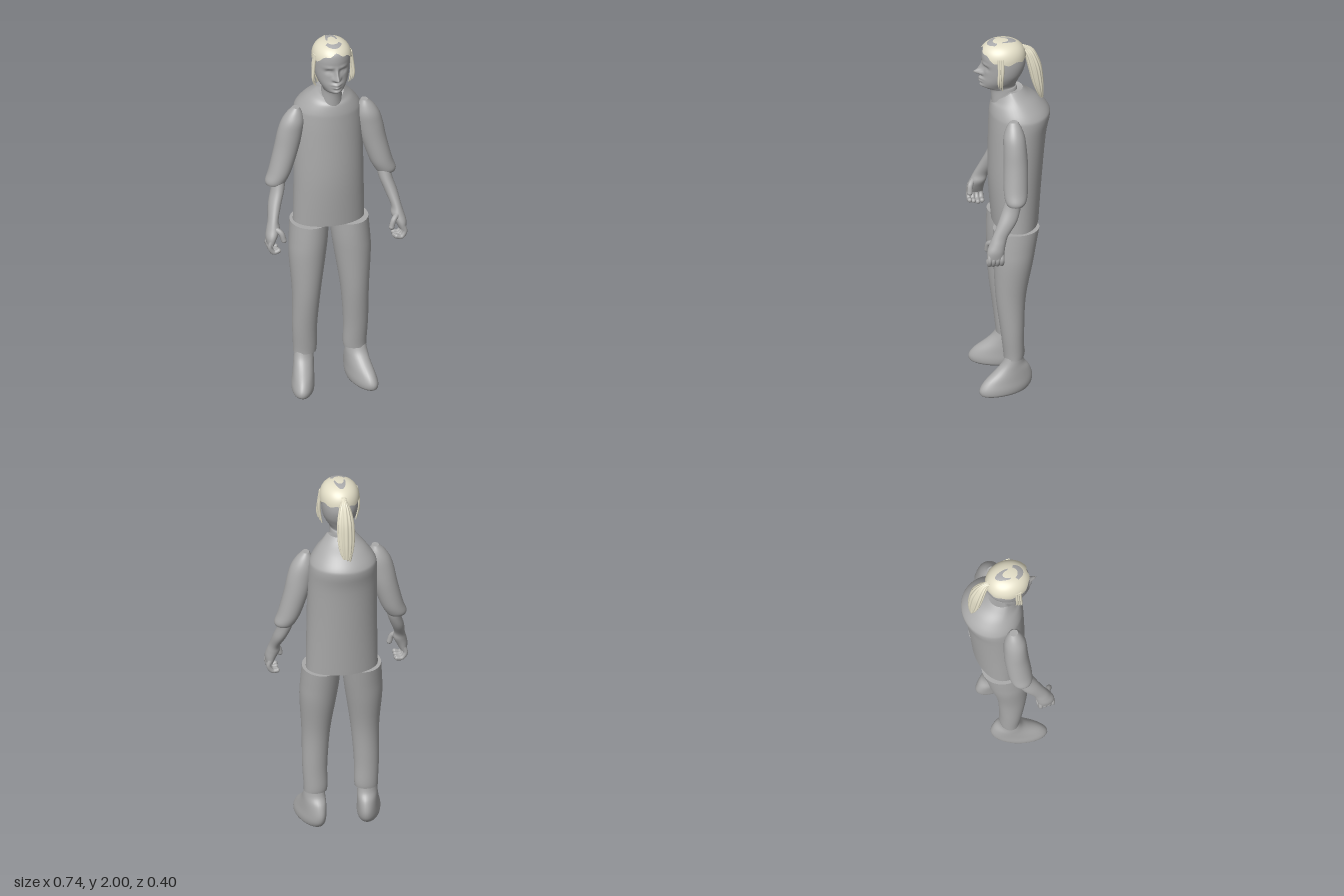
import * as THREE from 'three';

const material = (name, color, side = THREE.FrontSide) => {
  const m = new THREE.MeshStandardMaterial({ color, side });
  m.name = name;
  return m;
};

// Smooth surface from a rule fn(u, v) -> [x, y, z]; u runs down the rows, v around the columns
function grid(rows, cols, closed, fn, caps = false) {
  const pos = [], idx = [], n = closed ? cols : cols + 1;
  for (let i = 0; i <= rows; i++)
    for (let j = 0; j < n; j++) pos.push(...fn(i / rows, j / cols));
  for (let i = 0; i < rows; i++)
    for (let j = 0; j < cols; j++) {
      const k = (j + 1) % n;
      const a = i * n + j, b = i * n + k, c = a + n, d = b + n;
      idx.push(a, b, d, a, d, c);
    }
  if (caps) for (const u of [0, 1]) {
    const start = pos.length / 3, mid = [0, 0, 0];
    for (let j = 0; j < n; j++) {
      const p = fn(u, j / cols);
      pos.push(...p);
      p.forEach((c, k) => { mid[k] += c / n; });
    }
    pos.push(...mid);
    for (let j = 0; j < n; j++) {
      const a = start + j, b = start + (j + 1) % n;
      if (u) idx.push(a, b, start + n); else idx.push(b, a, start + n);
    }
  }
  const g = new THREE.BufferGeometry();
  g.setAttribute('position', new THREE.Float32BufferAttribute(pos, 3));
  g.setIndex(idx);
  g.computeVertexNormals();
  return g;
}

// Smooth value between cross-sections
function sample(rings, u) {
  const t = u * (rings.length - 1), i = Math.min(Math.floor(t), rings.length - 2), f = t - i;
  const at = k => rings[Math.max(0, Math.min(rings.length - 1, k))];
  return rings[i].map((p1, k) => {
    const p0 = at(i - 1)[k], p2 = at(i + 1)[k], p3 = at(i + 2)[k];
    const m1 = (p2 - p0) / 2, m2 = (p3 - p1) / 2;
    return p1 + f * (m1 + f * (3 * (p2 - p1) - 2 * m1 - m2 + f * (2 * (p1 - p2) + m1 + m2)));
  });
}

// Loft through sections [x, y, z, halfWidth, halfDepth, frontDrop], listed from top to bottom
function loft(rings, { cols = 32, steps = 5, rule = p => p, ridge = () => 1 } = {}) {
  return grid((rings.length - 1) * steps, cols, true, (u, v) => {
    const [x, y, z, rx, rz, drop = 0] = sample(rings, u);
    const a = v * Math.PI * 2, c = Math.cos(a), s = Math.sin(a), k = ridge(a);
    return rule([x + Math.max(rx, 0) * c * k, y - drop * Math.max(0, s), z + Math.max(rz, 0) * s * k]);
  }, true);
}

export function createModel() {
  const model = new THREE.Group();
  const grey = material('figure grey', 0xaaaaaa);
  const scalp = material('scalp grey', 0xaaaaab, THREE.DoubleSide);
  const blond = material('pale hair', 0xe4dfc8, THREE.DoubleSide);
  const add = (name, geometry, mat = grey, parent = model) => {
    const m = new THREE.Mesh(geometry, mat);
    m.name = name;
    parent.add(m);
    return m;
  };

  // Shirt with a collar that dips at the front
  add('shirt', loft([
    [0, 1.72, 0.015, 0.07, 0.075, 0.055], [0, 1.69, 0, 0.095, 0.093, 0.035],
    [0, 1.65, -0.022, 0.13, 0.125, 0.01], [0, 1.6, -0.04, 0.165, 0.152, 0],
    [0, 1.56, -0.042, 0.176, 0.157, 0], [0, 1.45, -0.03, 0.18, 0.148, 0],
    [0, 1.2, -0.018, 0.183, 0.138, 0], [0, 0.945, -0.018, 0.187, 0.12, 0],
  ], { cols: 48 }));

  // Face relief: [x, y, spreadX, spreadY, height]
  const relief = [
    [0, 1.826, 0.013, 0.014, 0.04], [0, 1.85, 0.009, 0.025, 0.022],
    [0.016, 1.822, 0.008, 0.008, 0.012], [-0.016, 1.822, 0.008, 0.008, 0.012],
    [0.036, 1.862, 0.02, 0.012, -0.013], [-0.036, 1.862, 0.02, 0.012, -0.013],
    [0.035, 1.859, 0.011, 0.006, 0.007], [-0.035, 1.859, 0.011, 0.006, 0.007],
    [0.036, 1.886, 0.024, 0.008, 0.006], [-0.036, 1.886, 0.024, 0.008, 0.006],
    [0, 1.792, 0.022, 0.007, 0.019], [0, 1.776, 0.018, 0.007, 0.017],
    [0, 1.75, 0.024, 0.011, 0.01],
  ];
  add('head', loft([
    [0, 1.995, 0.045, 0.01, 0.01], [0, 1.983, 0.045, 0.06, 0.075],
    [0, 1.96, 0.045, 0.082, 0.102], [0, 1.92, 0.042, 0.093, 0.112],
    [0, 1.87, 0.038, 0.094, 0.112], [0, 1.82, 0.045, 0.088, 0.105],
    [0, 1.78, 0.058, 0.074, 0.097], [0, 1.75, 0.064, 0.057, 0.09],
    [0, 1.735, 0.058, 0.05, 0.08], [0, 1.72, 0.04, 0.05, 0.07],
    [0, 1.64, 0.032, 0.06, 0.07],
  ], {
    cols: 96, steps: 7,
    rule: ([x, y, z]) => {
      if (z > 0.06) for (const [bx, by, sx, sy, h] of relief)
        z += h * Math.exp(-(((x - bx) / sx) ** 2) - ((y - by) / sy) ** 2);
      return [x, y, z];
    },
  }));

  // Hair cap with a raised front hairline
  const RX = 0.103, RZ = 0.122, CZ = 0.045;
  add('hairCap', grid(20, 64, true, (u, v) => {
    const a = v * Math.PI * 2, front = Math.max(0, Math.sin(a));
    const edge = 0.08 + 0.55 * front * front + 0.06 * Math.sin(a * 9);
    const t = u * Math.acos(Math.max(0.01, edge) ** 1.25);
    const r = Math.sin(t) ** 0.8, h = Math.max(0, Math.cos(t)) ** 0.8;
    return [RX * r * Math.cos(a), 1.9 + 0.1 * h, CZ + RZ * r * Math.sin(a)];
  }), blond);

  // Bare patches lying on the crown
  const patch = (name, cz, outer, inner, from, to) =>
    add(name, grid(6, 24, false, (u, v) => {
      const a = from + (to - from) * v;
      const x = THREE.MathUtils.lerp(inner[0], outer[0], u) * Math.cos(a);
      const z = cz + THREE.MathUtils.lerp(inner[1], outer[1], u) * Math.sin(a);
      const r = Math.hypot(x / RX, (z - CZ) / RZ);
      return [x, 1.9015 + 0.1 * (1 - r ** 2.5) ** 0.4, z];
    }), scalp);
  patch('crownPatchBack', 0.05, [0.03, 0.075], [0.022, 0.035], Math.PI, Math.PI * 2);
  patch('crownPatchFront', 0.065, [0.045, 0.06], [0.03, 0.03], 0.35, Math.PI - 0.35);

  // Ponytail with grooves, and loose locks at its tip
  add('ponytail', loft([
    [0, 1.962, -0.055, 0.012, 0.015], [0, 1.945, -0.078, 0.016, 0.028],
    [0, 1.91, -0.1, 0.03, 0.03], [0, 1.84, -0.121, 0.042, 0.034],
    [0, 1.75, -0.137, 0.042, 0.029], [0, 1.69, -0.148, 0.034, 0.02],
    [0, 1.65, -0.157, 0.02, 0.01],
  ], { cols: 72, ridge: a => 1 + 0.07 * Math.cos(a * 12) }), blond);
  [-0.018, -0.004, 0.012].forEach((x, i) => add('ponytailLock', loft([
    [x, 1.71, -0.15, 0.012, 0.013], [x, 1.66, -0.157, 0.009, 0.009],
    [x * 0.8, 1.625 + 0.012 * i, -0.16, 0.001, 0.001],
  ], { cols: 8 }), blond));

  for (const s of [-1, 1]) {
    const side = s > 0 ? 'left' : 'right';
    const body = rings => rings.map(([x, ...rest]) => [x * s, ...rest]);
    const limb = (name, rings, options, mat) => add(side + name, loft(body(rings), options), mat);

    // Locks hanging beside the face
    [0.058, 0.068, 0.078].forEach((z, i) => limb('SideLock', [
      [0.094, 1.94, z, 0.007, 0.008], [0.103, 1.87, z, 0.008, 0.007],
      [0.1 + 0.004 * i, 1.81, z + 0.003, 0.007, 0.006],
      [0.088 + 0.008 * i, 1.75 + 0.012 * i, z, 0.002, 0.002],
    ], { cols: 8 }, blond));

    // Sleeve and forearm
    limb('Sleeve', [
      [0.182, 1.617, 0.015, 0.018, 0.022], [0.19, 1.585, 0.015, 0.042, 0.04],
      [0.2, 1.54, 0.015, 0.06, 0.055], [0.213, 1.48, 0.013, 0.066, 0.06],
      [0.232, 1.39, 0.012, 0.065, 0.063], [0.266, 1.27, 0.017, 0.06, 0.063],
      [0.289, 1.215, 0.02, 0.056, 0.056], [0.295, 1.193, 0.022, 0.046, 0.045],
    ]);
    limb('Forearm', [
      [0.278, 1.23, 0.025, 0.036, 0.042], [0.286, 1.17, 0.04, 0.035, 0.046],
      [0.308, 1.1, 0.066, 0.033, 0.048], [0.326, 1.03, 0.105, 0.027, 0.04],
      [0.33, 0.99, 0.12, 0.034, 0.042], [0.342, 0.95, 0.132, 0.03, 0.045],
      [0.35, 0.91, 0.135, 0.018, 0.042],
    ]);

    // Curled fingers and thumb
    const digit = (name, points, r) => {
      const pts = points.map(([x, y, z]) => new THREE.Vector3(x * s, y, z));
      add(side + name, new THREE.TubeGeometry(new THREE.CatmullRomCurve3(pts), 10, r, 10));
      const tip = new THREE.SphereGeometry(r, 10, 8);
      tip.translate(...pts[pts.length - 1].toArray());
      add(side + name + 'Tip', tip);
    };
    [0.102, 0.124, 0.146, 0.166].forEach((z, i) => digit('Finger', [
      [0.348, 0.935, z], [0.358, 0.9, z], [0.338, 0.87, z],
      [0.312, 0.865 + 0.006 * Math.abs(i - 1), z],
    ], 0.0125));
    digit('Thumb', [[0.33, 0.995, 0.14], [0.3, 0.975, 0.164], [0.286, 0.935, 0.17]], 0.0145);

    // Trouser leg
    limb('TrouserLeg', [
      [0.105, 0.945, -0.01, 0.1, 0.12], [0.112, 0.85, 0, 0.1, 0.112],
      [0.12, 0.75, 0.008, 0.095, 0.102], [0.128, 0.55, 0.022, 0.074, 0.078],
      [0.135, 0.35, 0.015, 0.065, 0.061], [0.132, 0.23, 0.008, 0.062, 0.054],
      [0.133, 0.195, 0.008, 0.06, 0.051],
    ]);

    // Shoe, with the toe turned outward
    limb('Shoe', [
      [0.137, 0.22, 0.005, 0.046, 0.043], [0.137, 0.17, 0.01, 0.053, 0.058],
      [0.138, 0.13, 0.015, 0.055, 0.09], [0.14, 0.08, 0.037, 0.058, 0.127],
      [0.142, 0.04, 0.053, 0.062, 0.138], [0.143, 0.012, 0.062, 0.059, 0.128],
      [0.143, 0, 0.065, 0.048, 0.11],
    ], { rule: ([x, y, z]) => [x + s * 0.22 * z, y, z] });
  }
  return model;
}
